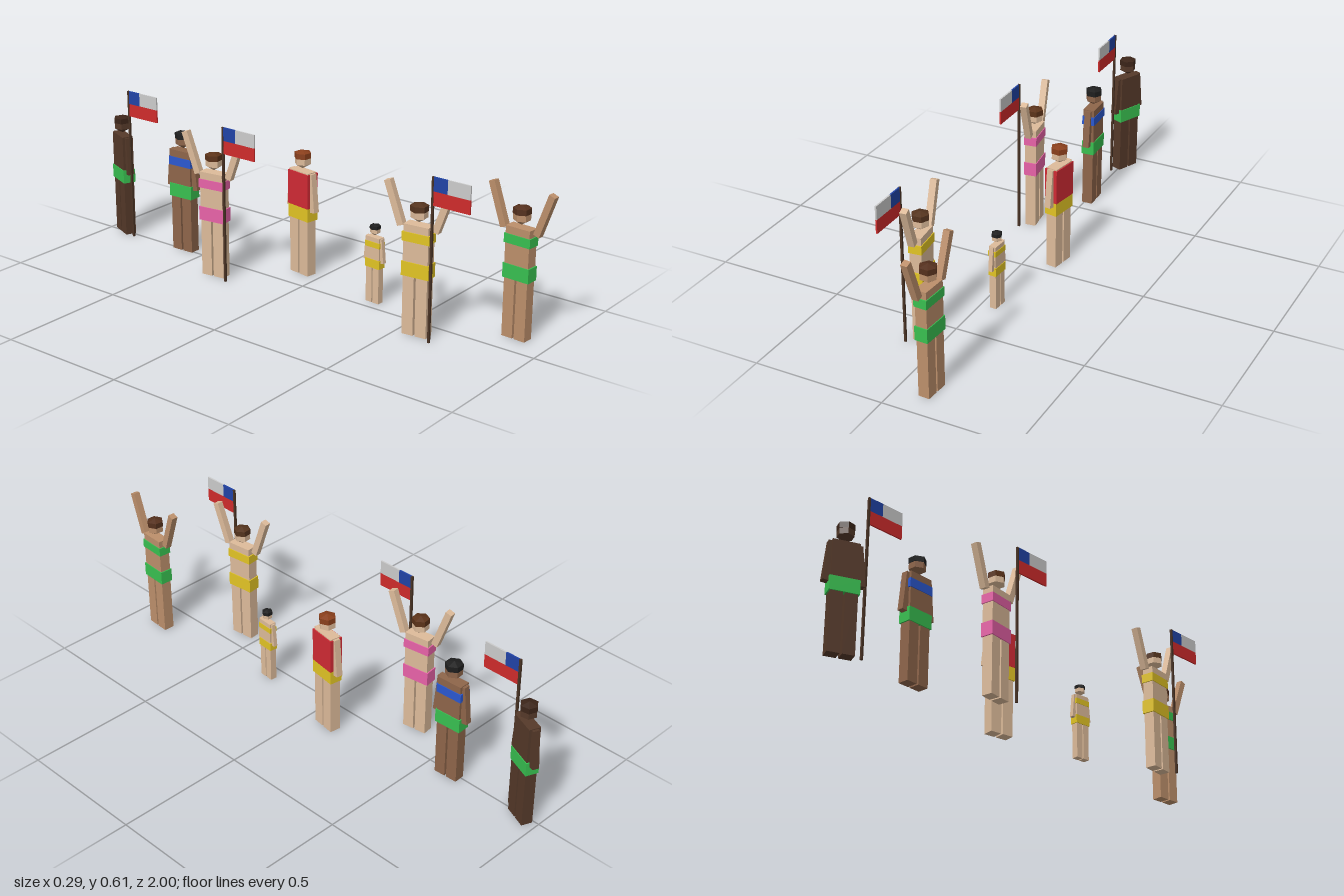
import * as THREE from 'three';

const mats = new Map();
function mat(color) {
  if (!mats.has(color)) mats.set(color, new THREE.MeshStandardMaterial({ color, flatShading: true }));
  return mats.get(color);
}

function add(parent, name, geometry, color, x = 0, y = 0, z = 0) {
  const mesh = new THREE.Mesh(geometry, mat(color));
  mesh.name = name;
  mesh.position.set(x, y, z);
  parent.add(mesh);
  return mesh;
}

const box = (w, h, d) => new THREE.BoxGeometry(w, h, d);

// Six-sided turned shape from [radius, height] pairs, bottom to top
const turned = (pts) => new THREE.LatheGeometry(pts.map(([r, y]) => new THREE.Vector2(r, y)), 6, Math.PI / 6);

const GREEN = 0x38c050, YELLOW = 0xe2c424, PINK = 0xe862a8, BLUE = 0x2b58d0, RED = 0xd02a34;
const FAIR = 0xddbb9a, TAN = 0xbc8f6b, BROWN = 0x8e654a, DARK = 0x553929;

// One standing figure, facing +x, shoulders along z
function person({ name, skin, hair, bottoms, top, shirt, armsUp }) {
  const g = new THREE.Group();
  g.name = name;

  add(g, 'torso', box(0.044, 0.182, 0.098), skin, 0, 0.321, 0);
  add(g, 'bottoms', box(0.05, 0.053, 0.107), bottoms, 0, 0.248, 0);
  if (top) add(g, 'topBand', box(0.05, 0.034, 0.107), top, 0, 0.367, 0);
  if (shirt) add(g, 'shirt', box(0.052, 0.134, 0.107), shirt, 0, 0.341, 0);

  // Legs and arms, mirrored across the body
  for (const s of [-1, 1]) {
    add(g, 'leg', box(0.042, 0.235, 0.044), skin, 0, 0.1175, s * 0.026);
    const arm = armsUp
      ? add(g, 'raisedArm', box(0.025, 0.165, 0.025), skin, 0, 0.475, s * 0.095)
      : add(g, 'arm', box(0.025, 0.15, 0.023), skin, 0, 0.334, s * 0.056);
    arm.rotation.x = s * (armsUp ? 0.34 : -0.1);
  }

  // Head with pointed chin, and a shallow cap of hair
  add(g, 'head', turned([[0, 0.419], [0.031, 0.438], [0.031, 0.465], [0, 0.48]]), skin);
  add(g, 'hair', turned([[0, 0.461], [0.0325, 0.461], [0.0325, 0.482], [0, 0.491]]), hair);
  return g;
}

// Pole with a flag flying toward +z: pale and blue above, red below
function flag() {
  const g = new THREE.Group();
  g.name = 'flag';
  add(g, 'pole', box(0.008, 0.609, 0.008), 0x4a3324, 0, 0.3045, 0);
  add(g, 'blueField', box(0.006, 0.051, 0.058), 0x2143a6, 0, 0.5835, 0.031);
  add(g, 'paleField', box(0.006, 0.051, 0.09), 0xcccccc, 0, 0.5835, 0.105);
  add(g, 'redField', box(0.006, 0.051, 0.148), 0xcf2b2b, 0, 0.5325, 0.076);
  return g;
}

export function createModel() {
  const model = new THREE.Group();
  model.name = 'crowd';

  const people = [
    { name: 'cheeringTanFigure', x: 0.111, z: 0.862, turn: -0.06, skin: TAN, hair: 0x55301d, bottoms: GREEN, top: GREEN, armsUp: true },
    { name: 'cheeringYellowFigure', x: -0.086, z: 0.576, turn: 0.1, skin: FAIR, hair: 0x55341e, bottoms: YELLOW, top: YELLOW, armsUp: true },
    { name: 'child', x: 0.053, z: 0.292, turn: -0.07, size: 0.62, skin: FAIR, hair: 0x1e1e1e, bottoms: YELLOW, top: YELLOW },
    { name: 'redShirtFigure', x: 0.111, z: -0.087, turn: -0.15, skin: FAIR, hair: 0x8a3f1c, bottoms: YELLOW, shirt: RED },
    { name: 'cheeringPinkFigure', x: -0.114, z: -0.331, turn: 0.13, skin: FAIR, hair: 0x5c3319, bottoms: PINK, top: PINK, armsUp: true },
    { name: 'blueTopFigure', x: 0.01, z: -0.598, turn: 0.04, skin: BROWN, hair: 0x1e1e1e, bottoms: GREEN, top: BLUE },
    { name: 'darkFigure', x: 0.009, z: -0.925, turn: -0.39, skin: DARK, hair: 0x3c2519, bottoms: GREEN },
  ];
  for (const p of people) {
    const g = person(p);
    g.position.set(p.x, 0, p.z);
    g.rotation.y = p.turn;
    g.scale.setScalar(p.size ?? 1);
    model.add(g);
  }

  for (const [x, z] of [[-0.118, 0.65], [-0.144, -0.257], [-0.02, -0.854]]) {
    const f = flag();
    f.position.set(x, 0, z);
    model.add(f);
  }
  return model;
}
